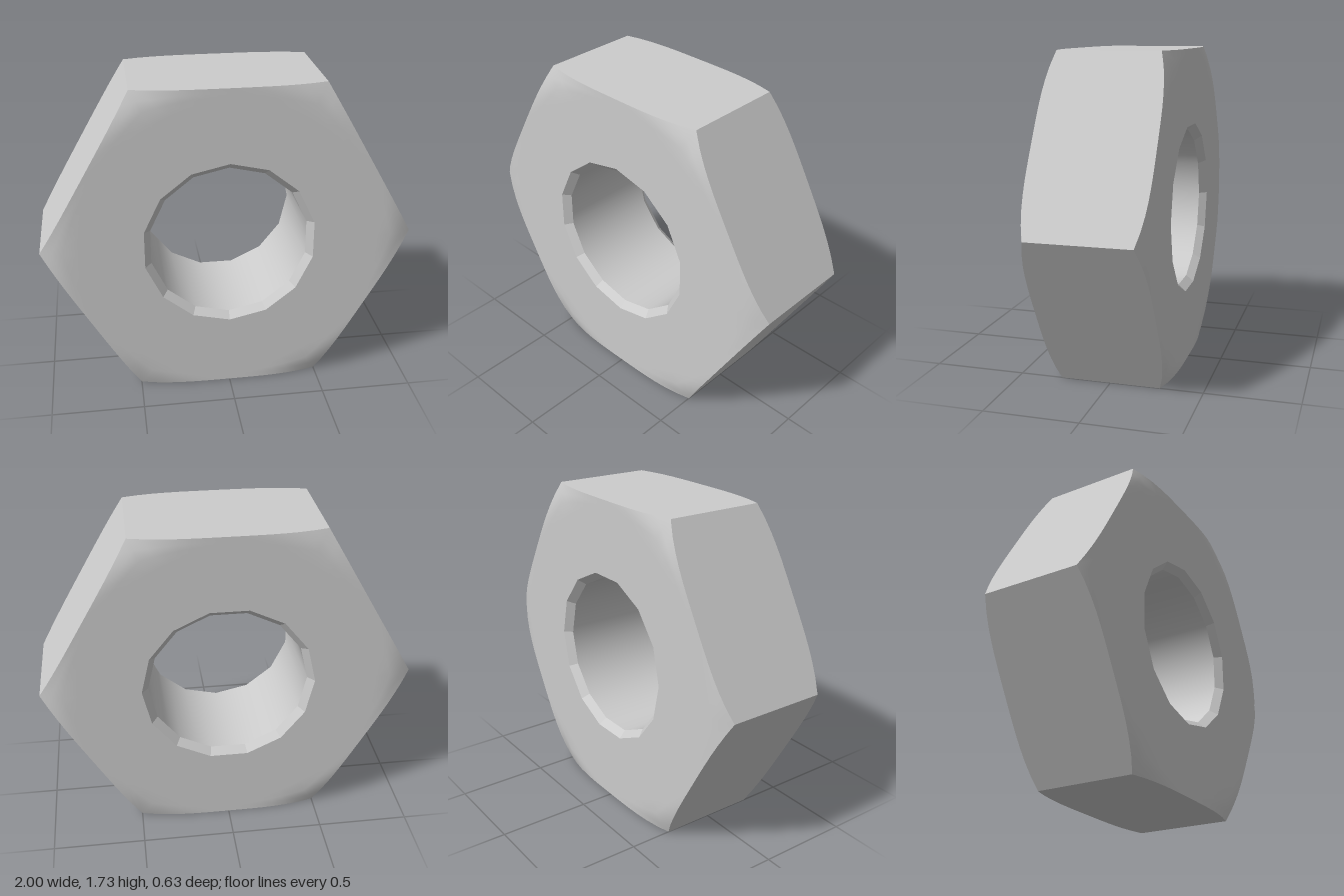
import * as THREE from 'three';

const SEG = 84;            // divides evenly into 6 hex sides and 14 bore sides
const HALF = 0.313;        // half thickness
const APOTHEM = Math.sqrt(3) / 2;
const STEP = (Math.PI * 2) / SEG;

// radius of a regular n-gon (circumradius r, one corner at phase) at angle t
function polyRadius(t, r, n, phase) {
  const s = (Math.PI * 2) / n;
  const a = ((((t - phase) % s) + s) % s) - s / 2;
  return (r * Math.cos(s / 2)) / Math.cos(a);
}

// closed ring of points from radius(t) and depth(r)
function ring(radius, depth) {
  return Array.from({ length: SEG }, (_, i) => {
    const t = i * STEP, r = radius(t);
    return new THREE.Vector3(Math.cos(t) * r, Math.sin(t) * r, depth(r));
  });
}

// skin consecutive rings into one surface
function skin(rings, flat) {
  const index = [];
  for (let k = 0; k < rings.length - 1; k++) {
    for (let i = 0; i < SEG; i++) {
      const j = (i + 1) % SEG;
      const a = k * SEG + i, b = k * SEG + j;
      const c = a + SEG, d = b + SEG;
      index.push(a, c, d, a, d, b);
    }
  }
  let g = new THREE.BufferGeometry().setFromPoints(rings.flat());
  g.setIndex(index);
  if (flat) g = g.toNonIndexed();
  g.computeVertexNormals();
  return g;
}

export function createModel() {
  const group = new THREE.Group();
  group.name = 'hexNut';
  const material = new THREE.MeshStandardMaterial({ color: 0xcccccc });
  const add = (name, geometry) => {
    const mesh = new THREE.Mesh(geometry, material);
    mesh.name = name;
    mesh.position.y = APOTHEM;
    group.add(mesh);
  };

  // faces curve back only near the hex corners
  const faceDepth = (r) =>
    HALF - 0.043 * Math.pow(Math.max(0, (r - APOTHEM) / (1 - APOTHEM)), 1.8);
  const hex = (t) => polyRadius(t, 1, 6, 0);
  const phase = { 1: Math.PI / 2, [-1]: Math.PI / 2 + 3 * STEP };

  const make = (side) => {
    const depth = (r) => side * faceDepth(r);
    const opening = ring((t) => polyRadius(t, 0.466, 14, phase[side]), depth);
    const bore = ring((t) => polyRadius(t, 0.43, 14, phase[side]), () => side * (HALF - 0.04));
    const face = [opening, ring(() => 0.8, depth)];
    for (const f of [0.4, 0.7, 1]) {
      face.push(ring((t) => 0.8 + (hex(t) - 0.8) * f, depth));
    }
    return { opening, bore, face, edge: face[face.length - 1] };
  };
  const front = make(1), back = make(-1);

  // chamfered faces and the six flat sides
  add('frontFace', skin(front.face));
  add('backFace', skin(back.face.slice().reverse()));
  add('hexSides', skin([front.edge, back.edge], true));

  // countersinks around the hole
  add('frontCountersink', skin([front.bore, front.opening], true));
  add('backCountersink', skin([back.opening, back.bore], true));

  // bore wall, shaded as a smooth cylinder
  const bore = skin([back.bore, front.bore]);
  const p = bore.attributes.position, n = bore.attributes.normal;
  for (let i = 0; i < p.count; i++) {
    const r = Math.hypot(p.getX(i), p.getY(i));
    n.setXYZ(i, -p.getX(i) / r, -p.getY(i) / r, 0);
  }
  add('boreWall', bore);

  return group;
}
